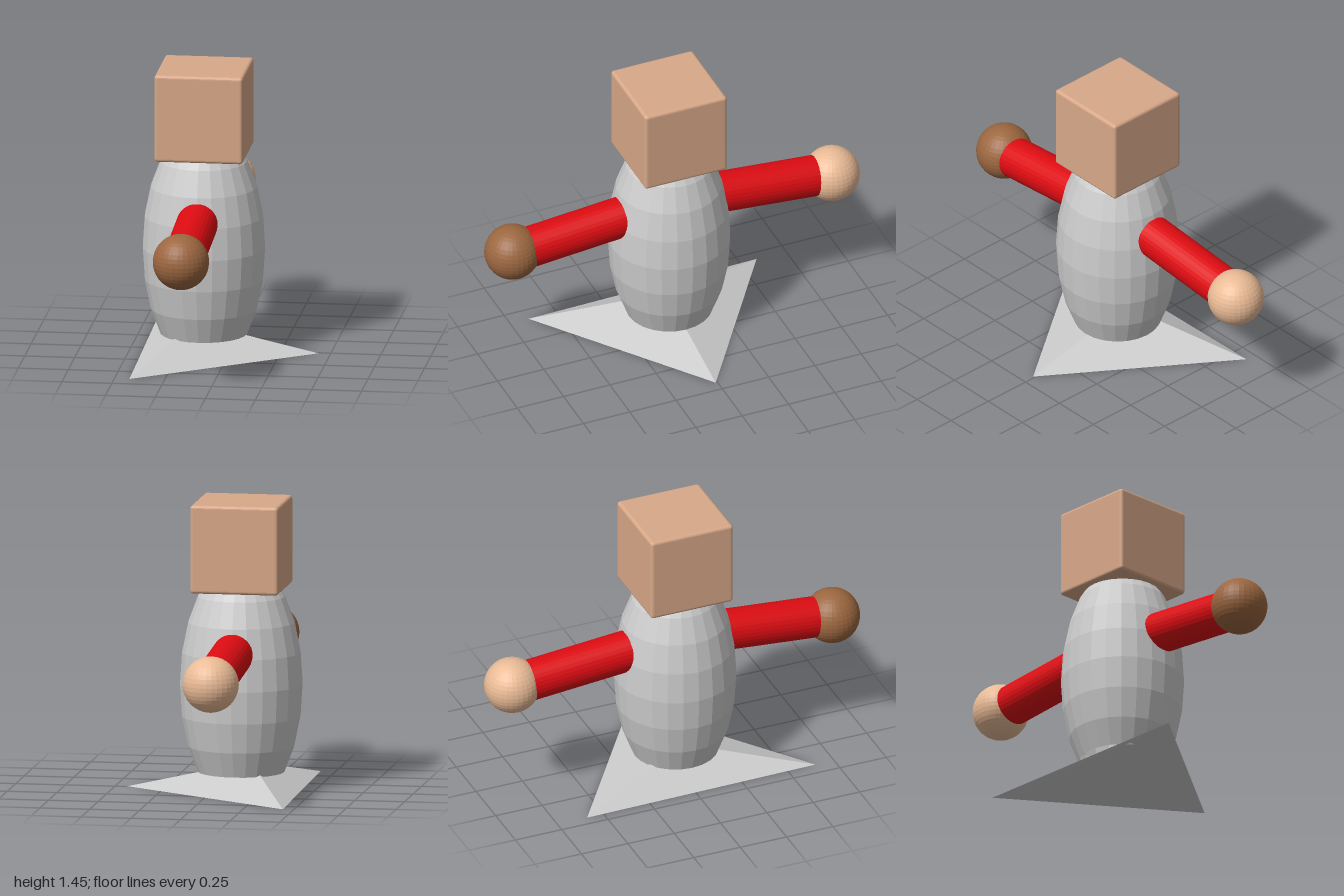
import * as THREE from 'three';
import { RoundedBoxGeometry } from 'three/addons/geometries/RoundedBoxGeometry.js';

const CX = -0.133; // the figure stands off-centre over its base
const CZ = 0.017;

function material(color, side = THREE.FrontSide) {
  return new THREE.MeshStandardMaterial({ color, flatShading: true, side });
}

function addMesh(parent, name, geometry, mat) {
  const mesh = new THREE.Mesh(geometry, mat);
  mesh.name = name;
  parent.add(mesh);
  return mesh;
}

// Cylinder running between two points
function rod(from, to, radius) {
  const axis = to.clone().sub(from);
  const turn = new THREE.Quaternion().setFromUnitVectors(
    new THREE.Vector3(0, 1, 0), axis.clone().normalize());
  const middle = from.clone().add(to).multiplyScalar(0.5);
  return new THREE.CylinderGeometry(radius, radius, axis.length(), 32)
    .applyQuaternion(turn)
    .translate(middle.x, middle.y, middle.z);
}

// Three-sided sheet pyramid, open underneath
function pyramid(corners, apex) {
  const points = [];
  corners.forEach((corner, i) => {
    points.push(...corner, ...corners[(i + 1) % corners.length], ...apex);
  });
  const geometry = new THREE.BufferGeometry();
  geometry.setAttribute('position', new THREE.Float32BufferAttribute(points, 3));
  geometry.computeVertexNormals();
  return geometry;
}

export function createModel() {
  const model = new THREE.Group();
  model.name = 'figure';
  const grey = material(0xcccccc, THREE.DoubleSide);

  // Base
  addMesh(model, 'base', pyramid(
    [[0.44, 0, 0.01], [-0.445, 0, -0.59], [-0.425, 0, 0.65]],
    [-0.18, 0.14, 0.012]), grey);

  // Barrel-shaped body: stretched sphere, cut open at the bottom
  const body = addMesh(model, 'body',
    new THREE.SphereGeometry(1, 24, 9, 0, Math.PI * 2, 0, Math.PI * 0.75), grey);
  body.scale.set(0.306, 0.622, 0.306);
  body.position.set(CX, 0.53, CZ);

  // Head
  const head = addMesh(model, 'head',
    new RoundedBoxGeometry(0.443, 0.443, 0.443, 3, 0.016), material(0xd8a888));
  head.position.set(CX, 1.23, CZ);

  // Arms reach to the front and the back, each ending in a ball hand
  const red = material(0xdd0c12);
  const sides = [
    { name: 'front', dir: 1, handX: -0.14, skin: 0x9c6740 },
    { name: 'back', dir: -1, handX: -0.128, skin: 0xeabb96 },
  ];
  for (const { name, dir, handX, skin } of sides) {
    addMesh(model, name + 'Arm', rod(
      new THREE.Vector3(CX, 0.722, dir * 0.15),
      new THREE.Vector3(CX, 0.661, dir * 0.84), 0.103), red);
    const hand = addMesh(model, name + 'Hand',
      new THREE.SphereGeometry(0.14, 32, 20), material(skin));
    hand.position.set(handX, 0.66, dir * 0.86);
  }

  return model;
}
